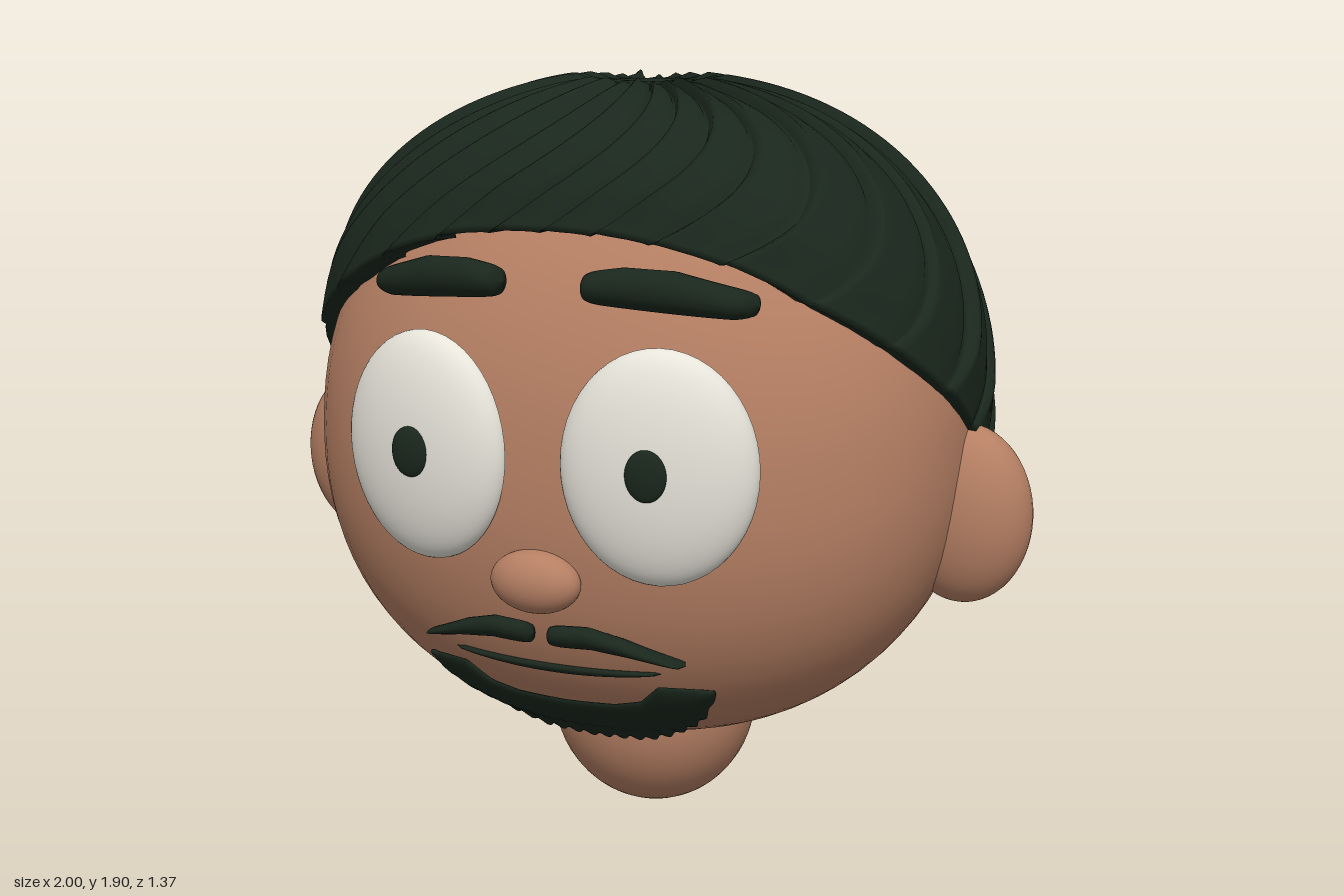
import * as THREE from 'three';

const mat = (name, color, side = THREE.FrontSide) => {
  const m = new THREE.MeshStandardMaterial({ color, side });
  m.name = name;
  return m;
};

// Head proportions: a slightly squared ellipsoid whose chin leans forward
const HEAD = { x: 0.845, y: 0.762, z: 0.615, back: 0.63, cy: 1.03, p: 2.2, lean: 0.065 };
const norm = (x, y, z, p) => (Math.abs(x) ** p + Math.abs(y) ** p + Math.abs(z) ** p) ** (1 / p);

// Front surface of the head at a given x, y
function faceZ(x, y) {
  const dy = y - HEAD.cy;
  const rest = 1 - Math.abs(x / HEAD.x) ** HEAD.p - Math.abs(dy / HEAD.y) ** HEAD.p;
  return HEAD.z * Math.max(0, rest) ** (1 / HEAD.p) - HEAD.lean * dy;
}

// Piecewise-linear curve through [x, y] points
const curve = (pts) => (x) => {
  let i = 0;
  while (i < pts.length - 2 && x > pts[i + 1][0]) i++;
  const [a, b] = [pts[i], pts[i + 1]];
  const t = Math.min(1, Math.max(0, (x - a[0]) / (b[0] - a[0])));
  return a[1] + (b[1] - a[1]) * t;
};

function makeGeometry(pos, idx) {
  const g = new THREE.BufferGeometry();
  g.setAttribute('position', new THREE.Float32BufferAttribute(pos, 3));
  g.setIndex(idx);
  g.computeVertexNormals();
  return g;
}

function headGeometry() {
  const g = new THREE.SphereGeometry(1, 64, 48);
  const v = g.attributes.position;
  for (let i = 0; i < v.count; i++) {
    const [x, y, z] = [v.getX(i), v.getY(i), v.getZ(i)];
    const k = 1 / norm(x, y, z, HEAD.p);
    const dy = y * k * HEAD.y;
    const lean = HEAD.lean * (1 + 0.8 * Math.min(0, z));
    v.setXYZ(i, x * k * HEAD.x, HEAD.cy + dy, z * k * (z > 0 ? HEAD.z : HEAD.back) - lean * dy);
  }
  g.computeVertexNormals();
  return g;
}

// Rounded strip lying on the face between a top and a bottom curve
function stripGeometry(x0, x1, top, bottom, zAt, depth, cols = 32, ring = 20) {
  const pos = [], idx = [];
  for (let i = 0; i <= cols; i++) {
    const u = i / cols, x = x0 + (x1 - x0) * u;
    const k = (1 - Math.abs(2 * u - 1) ** 14) ** 0.3;
    const hi = top(x), lo = bottom(x);
    for (let j = 0; j < ring; j++) {
      const th = (j / ring) * Math.PI * 2;
      const y = (hi + lo) / 2 + ((hi - lo) / 2) * k * Math.cos(th);
      pos.push(x, y, zAt(x, y) + depth * k * Math.sin(th));
      if (i === cols) continue;
      const a = i * ring + j, d = i * ring + ((j + 1) % ring);
      idx.push(a, d, a + ring, a + ring, d, d + ring);
    }
  }
  return makeGeometry(pos, idx);
}

// Hair cap: overlapping locks that swirl from a small crown disc to a slanted hairline
function hairGeometry() {
  const R = { x: 0.852, y: 0.815, z: 0.628 }, cy = 1.06, cz = -0.025, p = 2.3;
  const locks = 29, rows = 48, disc = 0.145;
  const lock = [[0, 0], [0.1, 0.35], [0.35, 0.6], [0.65, 0.7], [0.84, 1], [0.93, 0.95], [0.985, 0.3]];
  const edgeY = curve([[-0.8, 0.37], [-0.57, 0.585], [-0.29, 0.83], [0, 1.08], [0.25, 1.275],
    [0.4, 1.41], [0.48, 1.53], [0.6, 1.74]]);
  const point = (a, phi, grow, inset) => {
    const x = Math.cos(a) * Math.sin(phi), y = Math.cos(phi), z = Math.sin(a) * Math.sin(phi);
    const k = 1 / norm(x, y, z, p);
    return [x * (k * R.x + grow - inset), cy + y * (k * R.y + grow), cz + z * (k * R.z + grow - inset)];
  };
  const hairline = (a) => {
    let lo = 0.2, hi = 2.8;
    for (let n = 0; n < 22; n++) {
      const mid = (lo + hi) / 2, q = point(a, mid, 0, 0);
      if (q[1] > edgeY(q[2])) lo = mid; else hi = mid;
    }
    return lo;
  };
  const cols = locks * lock.length, pos = [], idx = [];
  for (let j = 0; j <= rows + 1; j++) {
    const t = Math.min(1, j / rows);
    for (let i = 0; i < cols; i++) {
      const n = Math.floor(i / lock.length), [f, h] = lock[i % lock.length];
      const b = ((n + f) / locks) * Math.PI * 2;
      const a = b + 0.06 * Math.sin(3 * b) + 0.95 * t * t - 0.4 * t;
      const phi = Math.max(0.0005, t * hairline(a));
      const rise = THREE.MathUtils.smoothstep(phi, disc, disc + 0.08);
      const hemFade = 1 - 0.55 * THREE.MathUtils.smoothstep(t, 0.85, 1);
      const dimple = 0.01 * (1 - rise) - 0.012 * Math.exp(-((phi / 0.05) ** 2));
      const size = 0.029 + 0.006 * Math.sin(n * 2.4);
      pos.push(...point(a, phi, dimple + size * h * rise * hemFade, j > rows ? 0.07 : 0));
      if (j > rows) continue;
      const v = j * cols + i, w = j * cols + ((i + 1) % cols);
      idx.push(v, w, v + cols, w, w + cols, v + cols);
    }
  }
  return makeGeometry(pos, idx);
}

export function createModel() {
  const model = new THREE.Group();
  model.name = 'cartoonHead';
  const skin = mat('skin', 0xb57f63);
  const hair = mat('hair', 0x1a271d, THREE.DoubleSide);
  const white = mat('eyeWhite', 0xece9df, THREE.DoubleSide);

  const add = (name, geometry, material) => {
    const m = new THREE.Mesh(geometry, material);
    m.name = name;
    model.add(m);
    return m;
  };
  const ball = new THREE.SphereGeometry(1, 40, 28);
  const dome = new THREE.SphereGeometry(1, 48, 16, 0, Math.PI * 2, 0, Math.PI / 2).rotateX(Math.PI / 2);
  const rounded = (name, geometry, material, center, radii, turn = 0) => {
    const m = add(name, geometry, material);
    m.position.set(...center);
    m.scale.set(...radii);
    m.rotation.y = turn;
  };

  // Head, neck and nose
  add('head', headGeometry(), skin);
  rounded('neck', ball, skin, [0, 0.29, -0.067], [0.27, 0.29, 0.255]);
  rounded('nose', ball, skin, [0, 0.775, 0.62], [0.113, 0.075, 0.062]);
  add('hair', hairGeometry(), hair);

  // Paired features; their outlines depend on the distance from the middle
  const browTop = curve([[0.1, 1.495], [0.2, 1.51], [0.31, 1.505], [0.48, 1.455]]);
  const browLow = curve([[0.1, 1.425], [0.25, 1.412], [0.44, 1.395], [0.48, 1.4]]);
  const lipTop = curve([[0.02, 0.668], [0.12, 0.674], [0.2, 0.652], [0.335, 0.592]]);
  const lipLow = curve([[0.02, 0.612], [0.13, 0.616], [0.22, 0.604], [0.335, 0.58]]);
  const mirrored = (f) => (x) => f(Math.abs(x));
  for (const s of [1, -1]) {
    const side = s > 0 ? 'left' : 'right';
    const span = (a, b) => (s > 0 ? [a, b] : [-b, -a]);
    rounded(side + 'Ear', ball, skin, [s * 0.83, 0.872, -0.025], [0.17, 0.222, 0.11]);
    rounded(side + 'Eye', dome, white, [s * 0.296, 1.065, 0.585], [0.23, 0.274, 0.083], s * 0.19);
    rounded(side + 'Pupil', ball, hair, [s * 0.298, 1.065, 0.668], [0.049, 0.06, 0.016], s * 0.1);
    add(side + 'Eyebrow', stripGeometry(...span(0.1, 0.485), mirrored(browTop), mirrored(browLow),
      (x, y) => faceZ(x, 1.45) + 0.065 + 0.1 * (y - 1.45), 0.046), hair);
    add(side + 'Moustache', stripGeometry(...span(0.018, 0.338), mirrored(lipTop), mirrored(lipLow),
      (x, y) => faceZ(x, y) + 0.025, 0.03), hair);
  }

  // Mouth line
  add('mouth', stripGeometry(-0.27, 0.27, (x) => 0.55 + 0.08 * x * x, (x) => 0.526 + 0.3 * x * x,
    (x, y) => faceZ(x, y) + 0.006, 0.013), hair);

  // Chin beard with a ragged lower edge
  const beardTop = curve([[0, 0.438], [0.13, 0.444], [0.2, 0.462], [0.255, 0.514], [0.38, 0.514]]);
  const beardLow = curve([[0, 0.287], [0.14, 0.295], [0.22, 0.325], [0.3, 0.38], [0.345, 0.43], [0.38, 0.495]]);
  add('beard', stripGeometry(-0.38, 0.38, mirrored(beardTop),
    (x) => beardLow(Math.abs(x)) + 0.007 * Math.sin(x * 150),
    (x, y) => Math.max(faceZ(x, y) + 0.012, 0.5 - 0.95 * (0.51 - y) - 0.5 * x * x), 0.018, 120, 24), hair);

  return model;
}
